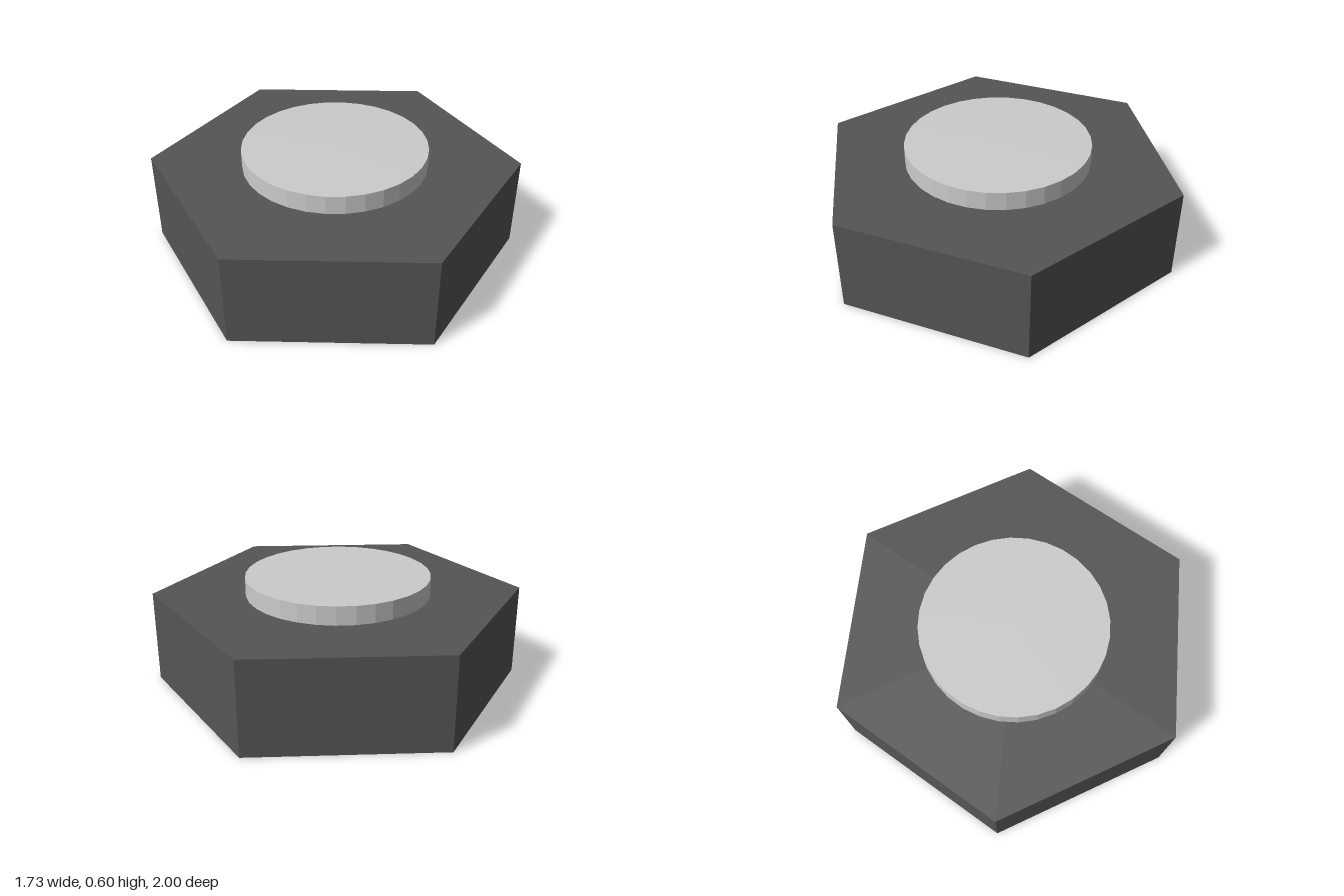
import * as THREE from 'three';

// Upright prism with its base at the given height and a corner facing +z
function prism(name, radius, height, sides, baseY, color) {
  const mesh = new THREE.Mesh(
    new THREE.CylinderGeometry(radius, radius, height, sides),
    new THREE.MeshStandardMaterial({ color, flatShading: true })
  );
  mesh.name = name;
  mesh.position.y = baseY + height / 2;
  return mesh;
}

export function createModel() {
  const model = new THREE.Group();
  model.name = 'hexagonalPuck';

  // Dark hexagonal body
  model.add(prism('hexBase', 1, 0.5, 6, 0, 0x555555));

  // Light round disc resting on the body
  model.add(prism('topDisc', 0.5, 0.1, 32, 0.5, 0xcccccc));

  return model;
}
